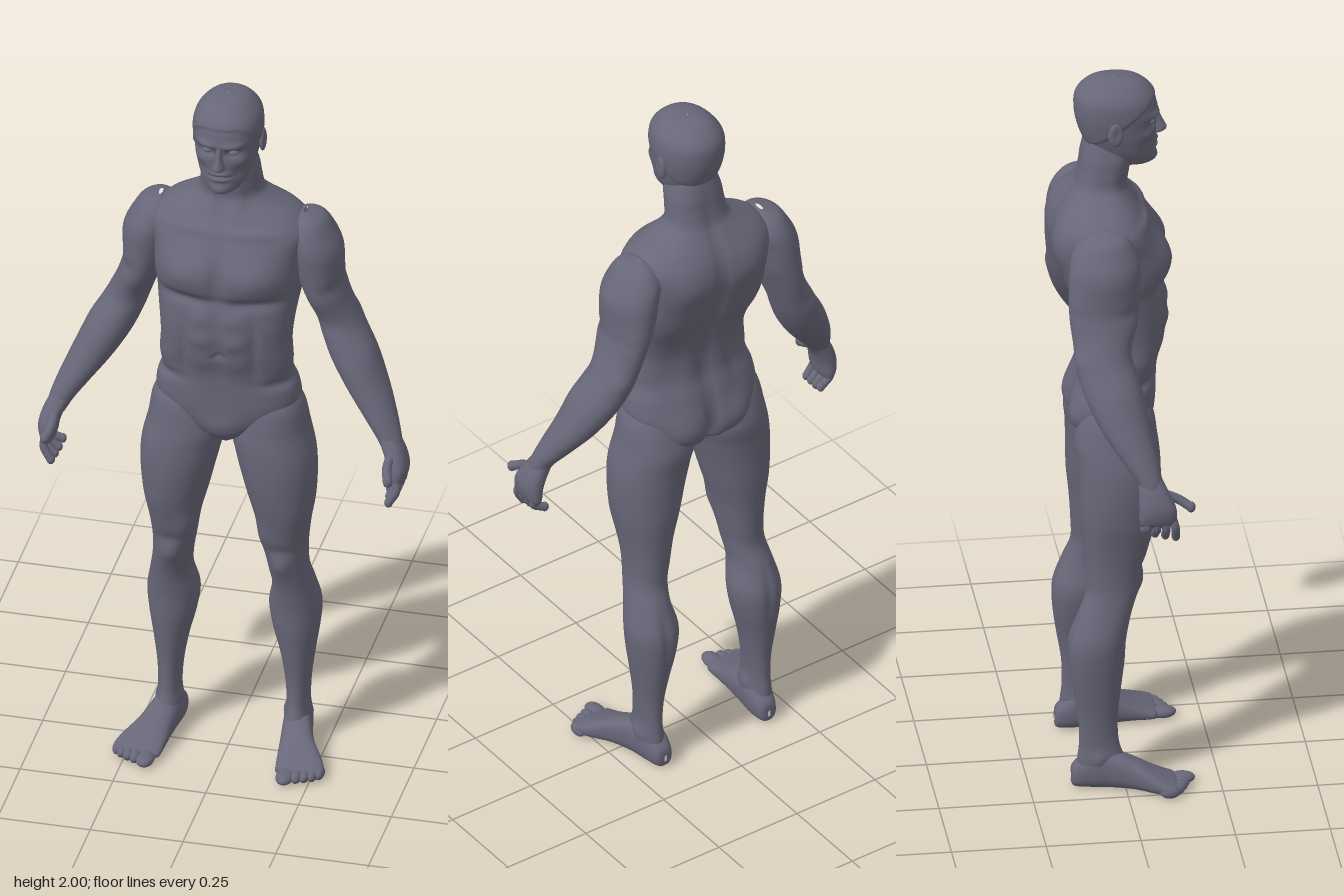
import * as THREE from 'three';

const skin = new THREE.MeshStandardMaterial({ color: 0x686779 });
skin.name = 'slate skin';

// Smooth interpolation through the section table
function sample(rows, u) {
  const n = rows.length - 1, s = Math.min(Math.floor(u * n), n - 1), f = u * n - s;
  const at = (i) => rows[Math.max(0, Math.min(n, i))];
  return rows[0].map((_, k) => {
    const a = at(s - 1)[k], b = at(s)[k], c = at(s + 1)[k], d = at(s + 2)[k];
    return b + 0.5 * f * (c - a + f * (2 * a - 5 * b + 4 * c - d + f * (3 * (b - c) + d - a)));
  });
}

// Skin over oval sections [t, centreX, halfWidth, front, back]; alongZ lays it down (front/back become top/bottom)
function loft(rows, { steps = 60, sides = 40, power = 2, alongZ = false } = {}) {
  const pos = [], idx = [];
  const bend = (v) => Math.sign(v) * Math.abs(v) ** (2 / power);
  for (let i = 0; i <= steps; i++) {
    const [t, cx, rx, f, b] = sample(rows, i / steps);
    for (let j = 0; j < sides; j++) {
      const a = (j / sides) * Math.PI * 2;
      const x = cx + rx * bend(Math.cos(a)), z = (f + b) / 2 + ((f - b) / 2) * bend(Math.sin(a));
      pos.push(x, alongZ ? z : t, alongZ ? t : z);
    }
  }
  const flip = (rows[0][0] > rows[rows.length - 1][0]) !== alongZ;
  for (let i = 0; i < steps; i++) {
    for (let j = 0; j < sides; j++) {
      const k = (j + 1) % sides;
      const a = i * sides + j, b = a + sides, c = i * sides + k, d = c + sides;
      if (flip) idx.push(a, c, b, c, d, b);
      else idx.push(a, b, c, c, b, d);
    }
  }
  const g = new THREE.BufferGeometry();
  g.setAttribute('position', new THREE.Float32BufferAttribute(pos, 3));
  g.setIndex(idx);
  g.computeVertexNormals();
  return g;
}

// Push the surface in or out with soft bumps [x, y, z, rx, ry, rz, height]
function sculpt(g, bumps, { mirrored = false, extra = null } = {}) {
  const p = g.attributes.position, n = g.attributes.normal;
  for (let i = 0; i < p.count; i++) {
    const x = p.getX(i), y = p.getY(i), z = p.getZ(i);
    let h = extra ? extra(x, y, z) : 0;
    for (const [bx, by, bz, rx, ry, rz, k] of bumps) {
      const dx = ((mirrored ? Math.abs(x) : x) - bx) / rx, dy = (y - by) / ry, dz = (z - bz) / rz;
      h += k * Math.exp(-(dx * dx + dy * dy + dz * dz));
    }
    p.setXYZ(i, x + n.getX(i) * h, y + n.getY(i) * h, z + n.getZ(i) * h);
  }
  g.computeVertexNormals();
  return g;
}

function ellipsoid(x, y, z, rx, ry, rz) {
  return new THREE.SphereGeometry(1, 20, 14).scale(rx, ry, rz).translate(x, y, z);
}

function mirrorX(g) {
  const m = g.clone().scale(-1, 1, 1), ix = m.index.array;
  for (let i = 0; i < ix.length; i += 3) [ix[i], ix[i + 1]] = [ix[i + 1], ix[i]];
  m.computeVertexNormals();
  return m;
}

export function createModel() {
  const model = new THREE.Group();
  model.name = 'muscular figure';
  const add = (name, g) => {
    const mesh = new THREE.Mesh(g, skin);
    mesh.name = name;
    model.add(mesh);
  };
  const pair = (name, g) => {
    add('left ' + name, g);
    add('right ' + name, mirrorX(g));
  };

  // Torso and neck
  add('torso', sculpt(loft([
    [0.955, 0, 0.012, 0.035, -0.05], [0.985, 0, 0.06, 0.07, -0.1], [1.03, 0, 0.14, 0.09, -0.12],
    [1.08, 0, 0.188, 0.098, -0.12], [1.14, 0, 0.188, 0.1, -0.105], [1.2, 0, 0.168, 0.105, -0.085],
    [1.27, 0, 0.172, 0.122, -0.085], [1.34, 0, 0.178, 0.128, -0.105], [1.41, 0, 0.187, 0.122, -0.135],
    [1.47, 0, 0.195, 0.125, -0.155], [1.54, 0, 0.2, 0.115, -0.172], [1.6, 0, 0.21, 0.085, -0.165],
    [1.64, 0, 0.18, 0.055, -0.148], [1.675, 0, 0.12, 0.03, -0.125], [1.7, 0, 0.088, 0.022, -0.11],
    [1.74, 0, 0.08, 0.03, -0.1], [1.78, 0, 0.075, 0.04, -0.095], [1.83, 0, 0.06, 0.04, -0.085],
  ], { steps: 150, sides: 96, power: 2.4 }), [
    [0.09, 1.5, 0.12, 0.075, 0.05, 0.08, 0.022],     // pectorals
    [0.1, 1.425, 0.12, 0.09, 0.016, 0.06, -0.014],   // crease below them
    [0, 1.5, 0.13, 0.014, 0.09, 0.06, -0.014],       // breastbone
    [0, 1.27, 0.13, 0.01, 0.12, 0.04, -0.006],       // belly midline
    [0.045, 1.375, 0.13, 0.03, 0.025, 0.05, 0.007],  // abdominals
    [0.045, 1.31, 0.13, 0.03, 0.025, 0.05, 0.008],
    [0.045, 1.235, 0.12, 0.035, 0.035, 0.05, 0.005],
    [0.095, 1.28, 0.11, 0.014, 0.1, 0.06, -0.008],
    [0, 1.26, 0.12, 0.01, 0.009, 0.04, -0.012],      // navel
    [0.16, 1.22, 0.03, 0.05, 0.04, 0.09, 0.01],      // flanks
    [0.165, 1.165, 0.07, 0.06, 0.016, 0.06, -0.012],
    [0, 1.02, 0.09, 0.05, 0.04, 0.05, 0.01],         // groin
    [0.14, 1.43, -0.1, 0.07, 0.1, 0.07, 0.012],      // back muscles
    [0.11, 1.56, -0.17, 0.07, 0.07, 0.06, 0.014],
    [0.05, 1.24, -0.09, 0.03, 0.1, 0.04, 0.008],
    [0, 1.4, -0.15, 0.016, 0.27, 0.07, -0.016],      // spine
    [0.09, 1.03, -0.12, 0.06, 0.06, 0.06, 0.022],    // buttocks
    [0, 1.02, -0.12, 0.015, 0.08, 0.06, -0.025],
    [0.08, 1.615, 0.07, 0.08, 0.012, 0.05, 0.006],   // collarbones
    [0.035, 1.7, 0.03, 0.018, 0.06, 0.04, 0.006],    // neck cords
  ], { mirrored: true }));

  // Head with a raised hairline
  const hair = (x, y, z) => {
    const edge = 1.945 - 0.75 * Math.max(0, 0.09 - z);
    return 0.004 * THREE.MathUtils.smoothstep(y, edge - 0.004, edge + 0.004);
  };
  add('head', sculpt(loft([
    [1.745, 0, 0.02, 0.075, 0.02], [1.757, 0, 0.045, 0.098, -0.02], [1.79, 0, 0.067, 0.104, -0.06],
    [1.83, 0, 0.079, 0.105, -0.085], [1.87, 0, 0.085, 0.106, -0.1], [1.91, 0, 0.088, 0.108, -0.107],
    [1.95, 0, 0.082, 0.098, -0.104], [1.98, 0, 0.058, 0.07, -0.08], [1.992, 0, 0.033, 0.04, -0.052],
    [1.996, 0, 0.001, -0.004, -0.006],
  ], { steps: 110, sides: 80, power: 2.2 }), [
    [0.035, 1.9, 0.1, 0.03, 0.01, 0.03, 0.008],      // brows
    [0.036, 1.877, 0.1, 0.02, 0.012, 0.03, -0.013],  // eye sockets
    [0.055, 1.85, 0.08, 0.02, 0.015, 0.03, 0.005],   // cheekbones
    [0.05, 1.815, 0.08, 0.02, 0.02, 0.03, -0.006],
    [0, 1.814, 0.105, 0.025, 0.006, 0.03, 0.006],    // lips
    [0, 1.805, 0.105, 0.027, 0.003, 0.03, -0.005],
    [0, 1.797, 0.105, 0.022, 0.006, 0.03, 0.006],
    [0, 1.765, 0.1, 0.025, 0.014, 0.03, 0.008],      // chin
  ], { mirrored: true, extra: hair }));
  add('nose', loft([
    [1.825, 0, 0.004, 0.11, 0.09], [1.832, 0, 0.017, 0.127, 0.08], [1.842, 0, 0.016, 0.134, 0.08],
    [1.865, 0, 0.01, 0.123, 0.08], [1.9, 0, 0.009, 0.108, 0.08],
  ], { steps: 20, sides: 20 }));
  pair('eye', ellipsoid(0.035, 1.877, 0.086, 0.014, 0.008, 0.012));
  pair('ear', sculpt(ellipsoid(0.09, 1.868, -0.012, 0.01, 0.034, 0.02),
    [[0.1, 1.872, -0.008, 0.01, 0.016, 0.009, -0.006]]));

  // Arms
  pair('arm', sculpt(loft([
    [1.64, 0.195, 0.005, -0.04, -0.07], [1.626, 0.203, 0.042, 0.0, -0.11], [1.59, 0.207, 0.062, 0.025, -0.14],
    [1.54, 0.222, 0.066, 0.036, -0.152], [1.47, 0.232, 0.062, 0.03, -0.152], [1.4, 0.252, 0.055, 0.018, -0.147],
    [1.33, 0.28, 0.057, 0.003, -0.145], [1.28, 0.302, 0.061, 0.015, -0.14], [1.22, 0.332, 0.064, 0.03, -0.122],
    [1.15, 0.37, 0.058, 0.042, -0.088], [1.08, 0.412, 0.045, 0.056, -0.04], [1.03, 0.44, 0.034, 0.064, -0.004],
    [0.99, 0.456, 0.026, 0.07, 0.01],
  ], { steps: 90, sides: 48 }), [
    [0.29, 1.53, -0.05, 0.04, 0.06, 0.06, 0.006],    // deltoid
    [0.27, 1.435, -0.03, 0.03, 0.02, 0.1, -0.007],
    [0.24, 1.41, 0.02, 0.04, 0.06, 0.04, 0.008],     // biceps
    [0.26, 1.43, -0.15, 0.04, 0.07, 0.04, 0.008],    // triceps
    [0.31, 1.32, -0.14, 0.03, 0.025, 0.03, 0.006],   // elbow
    [0.37, 1.25, -0.02, 0.03, 0.06, 0.05, 0.006],    // forearm
  ]));

  // Hands
  pair('palm', loft([
    [1.04, 0.436, 0.028, 0.06, 0.0], [1.0, 0.457, 0.029, 0.08, 0.0], [0.96, 0.47, 0.027, 0.097, 0.0],
    [0.925, 0.471, 0.021, 0.098, 0.0], [0.908, 0.468, 0.012, 0.085, 0.01], [0.904, 0.467, 0.001, 0.05, 0.045],
  ], { steps: 30, sides: 32, power: 2.4 }));
  const digit = (name, points, r) => {
    const curve = new THREE.CatmullRomCurve3(points.map((p) => new THREE.Vector3(...p)));
    pair(name, new THREE.TubeGeometry(curve, 14, r, 12));
    pair(name + ' tip', ellipsoid(...points[points.length - 1], r, r * 1.2, r));
  };
  [0.868, 0.872, 0.877, 0.887].forEach((tip, i) => {
    const z = 0.086 - i * 0.024;
    digit('finger ' + (i + 1), [[0.47, 0.935, z], [0.475, 0.905, z + 0.008], [0.455 - i * 0.004, tip, z + 0.012 - i * 0.003]], 0.0112);
  });
  digit('thumb', [[0.453, 0.995, 0.065], [0.452, 0.975, 0.105], [0.462, 0.955, 0.137]], 0.0125);

  // Legs
  pair('leg', sculpt(loft([
    [1.14, 0.12, 0.01, 0.01, -0.03], [1.09, 0.115, 0.08, 0.075, -0.09], [1.0, 0.112, 0.104, 0.094, -0.122],
    [0.93, 0.126, 0.106, 0.1, -0.118], [0.86, 0.136, 0.099, 0.098, -0.115], [0.78, 0.143, 0.086, 0.086, -0.113],
    [0.7, 0.147, 0.068, 0.065, -0.105], [0.62, 0.15, 0.057, 0.048, -0.1], [0.56, 0.156, 0.053, 0.036, -0.1],
    [0.5, 0.164, 0.056, 0.018, -0.123], [0.43, 0.164, 0.069, 0.005, -0.147], [0.36, 0.166, 0.062, 0, -0.147],
    [0.28, 0.17, 0.046, -0.01, -0.135], [0.2, 0.172, 0.034, -0.018, -0.122], [0.13, 0.173, 0.03, -0.015, -0.12],
    [0.08, 0.173, 0.034, 0.0, -0.125], [0.04, 0.173, 0.034, 0.01, -0.125],
  ], { steps: 120, sides: 56, power: 2.1 }), [
    [0.105, 0.68, 0.04, 0.03, 0.05, 0.04, 0.01],     // inner thigh
    [0.19, 0.73, 0.06, 0.04, 0.08, 0.04, 0.006],     // outer thigh
    [0.15, 0.59, 0.045, 0.025, 0.03, 0.03, 0.009],   // kneecap
    [0.15, 0.64, 0.05, 0.03, 0.015, 0.04, -0.006],
    [0.165, 0.43, -0.15, 0.012, 0.09, 0.03, -0.006], // calf split
    [0.142, 0.1, -0.06, 0.02, 0.02, 0.02, 0.006],    // ankle bones
    [0.205, 0.09, -0.07, 0.02, 0.02, 0.02, 0.006],
  ]));

  // Feet
  pair('foot', loft([
    [-0.141, 0.166, 0.004, 0.04, 0.02], [-0.134, 0.167, 0.025, 0.065, 0.004], [-0.09, 0.17, 0.037, 0.1, 0],
    [-0.04, 0.177, 0.04, 0.105, 0], [0.02, 0.191, 0.047, 0.083, 0], [0.07, 0.209, 0.06, 0.058, 0],
    [0.105, 0.218, 0.065, 0.042, 0], [0.128, 0.217, 0.058, 0.032, 0.003], [0.14, 0.212, 0.02, 0.022, 0.01],
  ], { steps: 50, sides: 40, power: 2.5, alongZ: true }));
  [[0.188, 0.147, 0.024], [0.217, 0.14, 0.015], [0.237, 0.132, 0.014], [0.256, 0.122, 0.0135], [0.272, 0.108, 0.013]]
    .forEach(([x, z, r], i) => pair('toe ' + (i + 1), ellipsoid(x, 0.016, z, r, 0.016, i ? 0.026 : 0.037)));

  return model;
}
